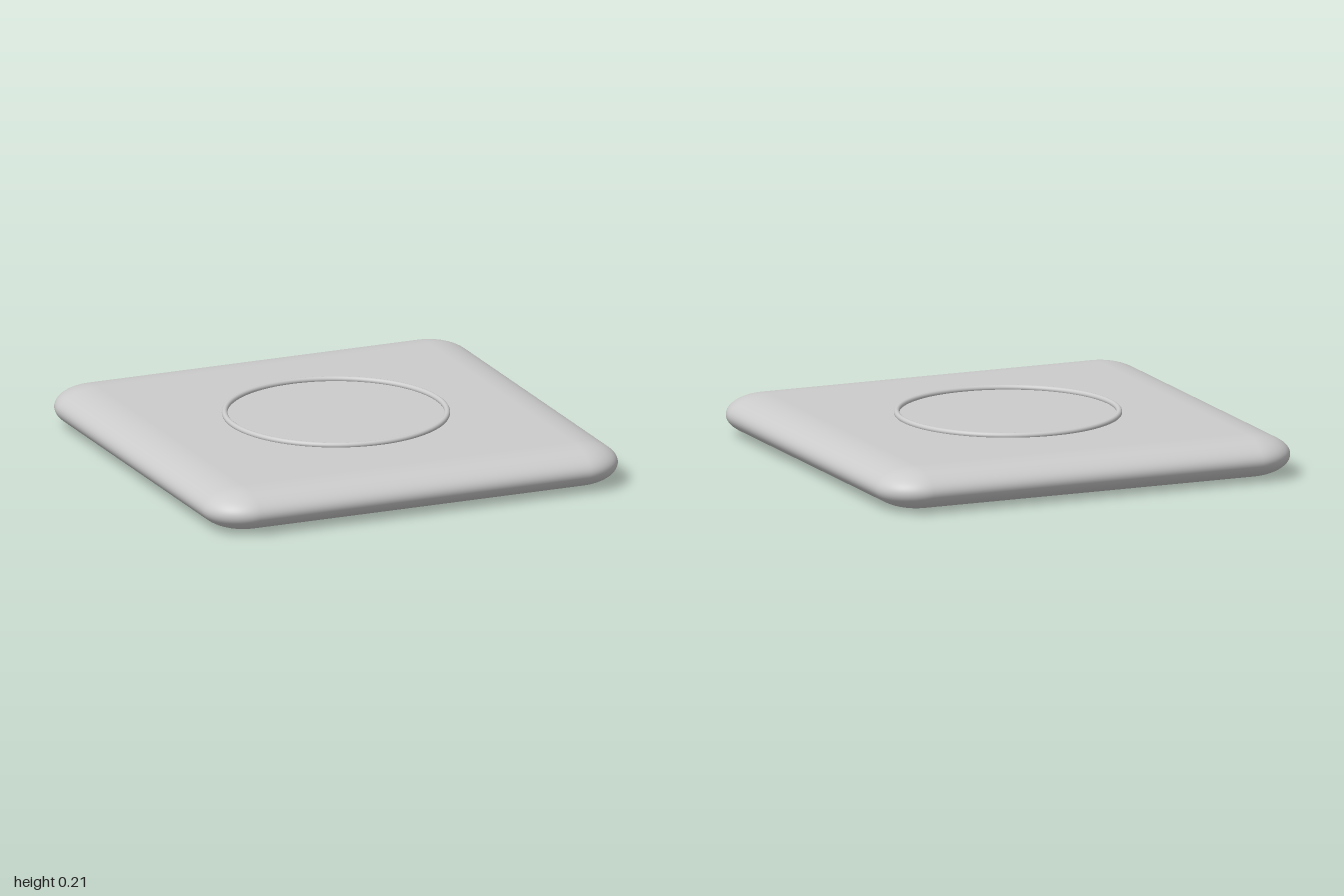
import * as THREE from 'three';
import { RoundedBoxGeometry } from 'three/addons/geometries/RoundedBoxGeometry.js';

const SIZE = 2, HEIGHT = 0.19, EDGE = 0.2;
const RING_RADIUS = 0.495, RING_TUBE = 0.013, RING_TOP = 0.21;

export function createModel() {
  const group = new THREE.Group();
  const material = new THREE.MeshStandardMaterial({ color: 0xcccccc });
  const add = (name, geometry, y) => {
    const mesh = new THREE.Mesh(geometry, material);
    mesh.name = name;
    mesh.position.y = y;
    group.add(mesh);
  };

  // Square pad: fully rounded edges, flattened to an elliptical rim
  const pad = new RoundedBoxGeometry(SIZE, EDGE * 2, SIZE, 10, EDGE);
  pad.scale(1, HEIGHT / (EDGE * 2), 1);
  add('pad', pad, HEIGHT / 2);

  // Thin raised ring, partly sunk into the top
  const ring = new THREE.TorusGeometry(RING_RADIUS, RING_TUBE, 16, 96);
  ring.rotateX(-Math.PI / 2);
  add('ring', ring, RING_TOP - RING_TUBE);

  return group;
}
